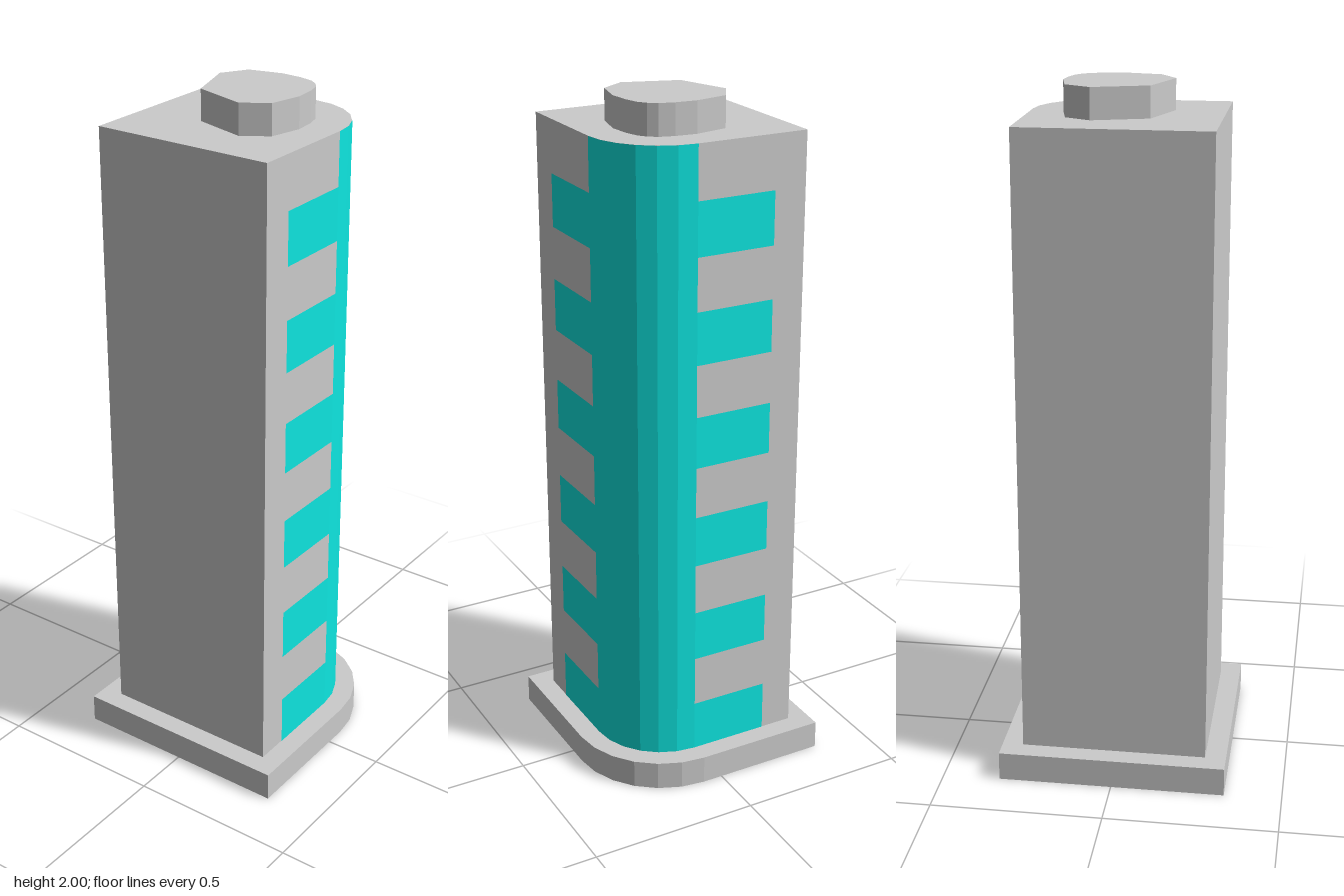
import * as THREE from 'three';

const BASE_TOP = 0.085, BODY_TOP = 1.912, TOP = 2;
const ARC_CENTRE = 0.06, HALF_BASE = 0.332, HALF_BODY = 0.271;
const ARC_STEPS = 6, BANDS = 6, BAND_EDGE = -0.175, LIFT = 0.001;

const grey = new THREE.MeshStandardMaterial({ color: 0xcccccc, flatShading: true });
const teal = new THREE.MeshStandardMaterial({ color: 0x0ee6e0, flatShading: true });

// Vertical prism from a plan outline given as [x, z] corners
function prism(name, outline, y0, y1) {
  const shape = new THREE.Shape(outline.map(([x, z]) => new THREE.Vector2(x, -z)));
  const geometry = new THREE.ExtrudeGeometry(shape, { depth: y1 - y0, bevelEnabled: false });
  geometry.rotateX(-Math.PI / 2).translate(0, y0, 0);
  const mesh = new THREE.Mesh(geometry, grey);
  mesh.name = name;
  return mesh;
}

// Square plan whose back left corner (+x, -z) is a faceted quarter circle
function roundedCornerPlan(half) {
  const radius = half - ARC_CENTRE;
  const points = [[-half, -half], [-half, half], [half, half]];
  for (let i = 0; i <= ARC_STEPS; i++) {
    const a = (i / ARC_STEPS) * Math.PI / 2;
    points.push([ARC_CENTRE + radius * Math.cos(a), -ARC_CENTRE - radius * Math.sin(a)]);
  }
  return points;
}

export function createModel() {
  const group = new THREE.Group();
  group.name = 'tower';

  group.add(prism('base', roundedCornerPlan(HALF_BASE), 0, BASE_TOP));
  group.add(prism('body', roundedCornerPlan(HALF_BODY), BASE_TOP, BODY_TOP));

  // Irregular rooftop block
  group.add(prism('roofBlock', [
    [-0.132, -0.08], [-0.079, 0.077], [0.08, 0.128], [0.153, 0.081],
    [0.175, -0.013], [0.169, -0.075], [0.157, -0.118], [0.14, -0.141],
    [0.116, -0.159], [0.073, -0.171], [0.01, -0.176], [-0.088, -0.155],
  ], BODY_TOP, TOP));

  // Coloured glazing over the curved corner
  const height = BODY_TOP - BASE_TOP;
  const radius = HALF_BODY - ARC_CENTRE + LIFT;
  const corner = new THREE.Mesh(
    new THREE.CylinderGeometry(radius, radius, height, ARC_STEPS, 1, true, Math.PI / 2, Math.PI / 2), teal);
  corner.name = 'cornerGlazing';
  corner.position.set(ARC_CENTRE, BASE_TOP + height / 2, -ARC_CENTRE);
  group.add(corner);

  // Window bands running from the corner onto the two adjoining walls
  const pitch = height / BANDS;
  const band = new THREE.PlaneGeometry(ARC_CENTRE - BAND_EDGE, pitch / 2);
  const middle = (ARC_CENTRE + BAND_EDGE) / 2;
  for (let i = 0; i < BANDS; i++) {
    const y = BASE_TOP + (i + 0.25) * pitch;
    const side = new THREE.Mesh(band, teal);
    side.name = 'sideWindowBand';
    side.rotation.y = Math.PI / 2;
    side.position.set(HALF_BODY + LIFT, y, -middle);
    const back = new THREE.Mesh(band, teal);
    back.name = 'backWindowBand';
    back.rotation.y = Math.PI;
    back.position.set(middle, y, -HALF_BODY - LIFT);
    group.add(side, back);
  }
  return group;
}
